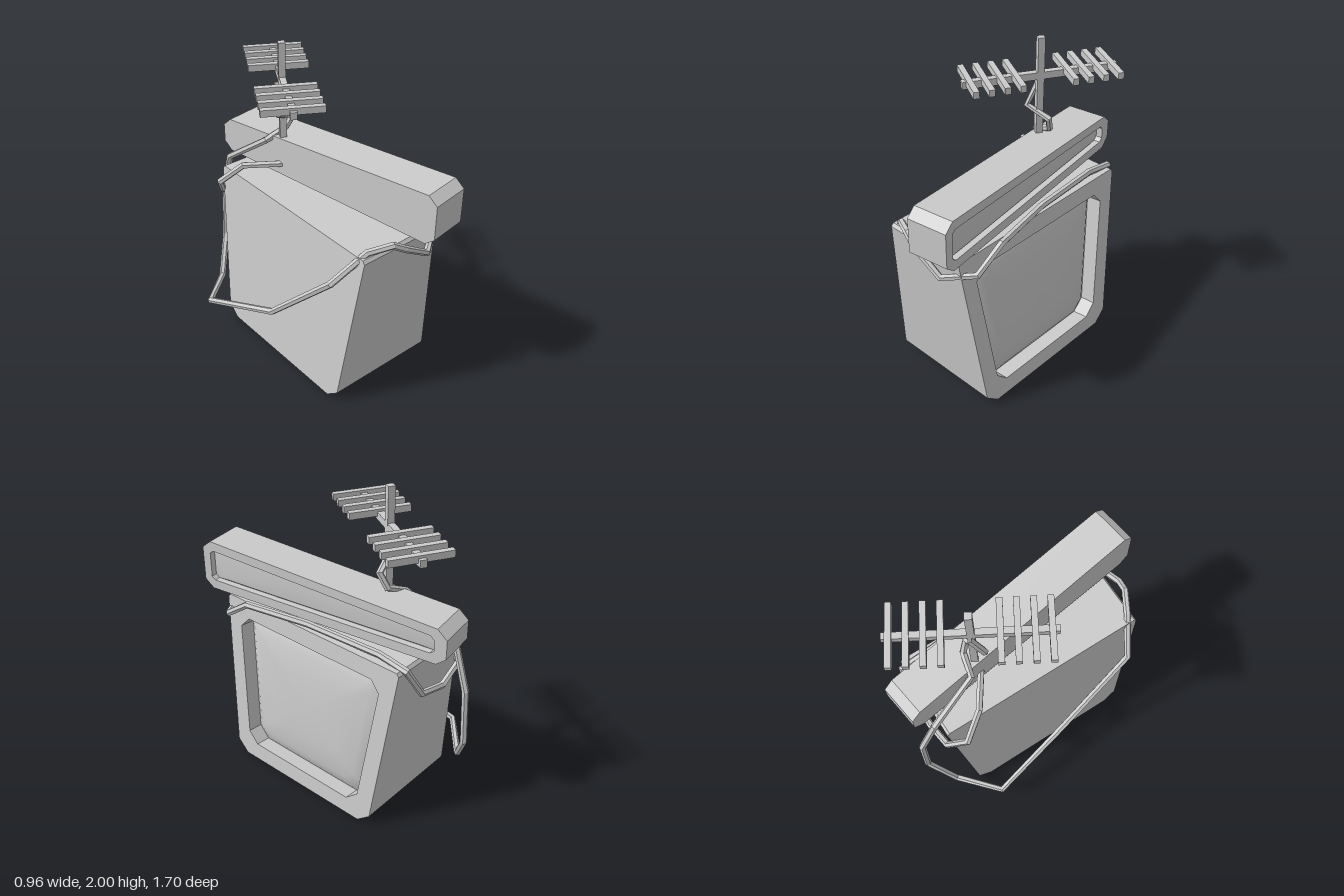
import * as THREE from 'three';
import { toCreasedNormals } from 'three/addons/utils/BufferGeometryUtils.js';

const grey = new THREE.MeshStandardMaterial({ color: 0xcccccc });
const faceted = new THREE.MeshStandardMaterial({ color: 0xcccccc, flatShading: true });

function add(parent, name, geometry, material = grey) {
  const mesh = new THREE.Mesh(geometry, material);
  mesh.name = name;
  parent.add(mesh);
  return mesh;
}

// Skin over rings of equal point count, running from the back to the front (+x)
function loft(rings, crease = 0.5) {
  const pos = [];
  const tri = (...pts) => pts.forEach(p => pos.push(p.x, p.y, p.z));
  for (let r = 0; r < rings.length - 1; r++) {
    const a = rings[r], b = rings[r + 1], n = a.length;
    for (let j = 0; j < n; j++) {
      const k = (j + 1) % n;
      if (r > 0) tri(a[j], a[k], b[k]);
      if (r === 0 || r < rings.length - 2) tri(a[j], b[k], b[j]);
    }
  }
  const g = new THREE.BufferGeometry();
  g.setAttribute('position', new THREE.Float32BufferAttribute(pos, 3));
  return toCreasedNormals(g, crease);
}

// Case with a recessed panel in its +x face.
// outline, opening: [z, y] corners; backX, frontX: face positions by height;
// panel: [scale, depth] steps of the recess floor, the last one being its middle
function recessedCase(outline, opening, backX, frontX, panel) {
  const mid = pts => {
    const box = new THREE.Box2().setFromPoints(pts.map(p => new THREE.Vector2(...p)));
    return box.getCenter(new THREE.Vector2());
  };
  const slope = frontX(0) - frontX(1);
  const ring = (pts, xOf, scale = 1, depth = 0) => {
    const c = mid(pts);
    return pts.map(([z, y]) => {
      const zz = c.x + (z - c.x) * scale, yy = c.y + (y - c.y) * scale;
      return new THREE.Vector3(xOf(yy) - depth, yy - slope * depth, zz);
    });
  };
  return loft([
    ring(outline, backX, 0), ring(outline, backX), ring(outline, frontX), ring(opening, frontX),
    ...panel.map(([scale, depth]) => ring(opening, frontX, scale, depth)),
  ]);
}

// Straight-segment path with mitred corners
class Polyline extends THREE.Curve {
  constructor(points) {
    super();
    this.points = points.map(p => new THREE.Vector3(...p));
  }
  getPoint(t, target = new THREE.Vector3()) {
    const n = this.points.length - 1, i = Math.min(Math.floor(t * n + 1e-6), n - 1);
    return target.lerpVectors(this.points[i], this.points[i + 1], t * n - i);
  }
  getPointAt(t, target) { return this.getPoint(t, target); }
  getTangentAt(t, target = new THREE.Vector3()) {
    const p = this.points, n = p.length - 1, i = Math.round(t * n);
    const dir = (a, b) => p[b].clone().sub(p[a]).normalize();
    target.set(0, 0, 0);
    if (i > 0) target.add(dir(i - 1, i));
    if (i < n) target.add(dir(i, i + 1));
    return target.normalize();
  }
}

function cable(parent, name, points) {
  add(parent, name, new THREE.TubeGeometry(new Polyline(points), points.length - 1, 0.022, 6), faceted);
}

export function createModel() {
  const model = new THREE.Group();

  // Television: tapered case with a bulging screen
  add(model, 'televisionCase', recessedCase(
    [[-0.48, 0], [-0.565, 0.07], [-0.675, 1.08], [-0.66, 1.1], [0.66, 1.1], [0.675, 1.08], [0.565, 0.07], [0.48, 0]],
    [[-0.38, 0.11], [-0.46, 0.18], [-0.55, 0.92], [-0.49, 0.99], [0.49, 0.99], [0.555, 0.92], [0.465, 0.18], [0.39, 0.11]],
    y => -0.27 + 0.082 * y,
    y => 0.48 - 0.1 * y,
    [[1, 0.1], [0.92, 0.075], [0.8, 0.055], [0.5, 0.038], [0, 0.03]],
  ));

  // Long player box lying askew on top
  const player = add(model, 'playerBox', recessedCase(
    [[-0.78, 1.13], [-0.84, 1.18], [-0.84, 1.3], [-0.78, 1.355], [0.78, 1.45], [0.84, 1.4], [0.84, 1.18], [0.78, 1.13]],
    [[-0.74, 1.19], [-0.765, 1.21], [-0.765, 1.275], [-0.74, 1.3], [0.76, 1.39], [0.785, 1.37], [0.785, 1.21], [0.76, 1.19]],
    () => -0.127,
    () => 0.127,
    [[1, 0.04], [0.9, 0.03], [0, 0.025]],
  ));
  player.rotation.y = 0.143;
  player.position.x = 0.182;

  // Antenna: square mast, boom and two sets of four bars
  const antenna = new THREE.Group();
  antenna.name = 'antenna';
  antenna.position.set(0.045, 0, -0.33);
  antenna.rotation.y = -Math.PI / 6;
  model.add(antenna);
  add(antenna, 'mast', new THREE.BoxGeometry(0.042, 0.7, 0.042)).position.y = 1.65;
  add(antenna, 'boom', new THREE.BoxGeometry(0.04, 0.045, 0.95)).position.y = 1.762;
  for (const side of [-1, 1]) {
    for (let i = 0; i < 4; i++) {
      const bar = add(antenna, 'antennaBar', new THREE.BoxGeometry(0.37, 0.042, 0.036));
      bar.position.set(0, 1.779, side * (0.158 + i * 0.092));
    }
  }

  // Cable from the player, behind the television, over the screen,
  // round the far side and up again to the antenna
  cable(model, 'playerCable', [
    [0.04, 1.2, -0.3], [-0.18, 1.2, -0.45], [-0.265, 1.05, -0.59], [-0.18, 0.91, -0.69],
    [0, 0.85, -0.71], [0.2, 0.9, -0.71], [0.32, 1.1, -0.69], [0.32, 1.13, -0.5],
    [0.37, 1.15, 0], [0.45, 1.15, 0.42], [0.44, 1.02, 0.6], [0.27, 0.98, 0.72],
    [0.08, 1.1, 0.73], [0, 1.15, 0.71], [-0.13, 1.12, 0.64], [-0.31, 0.93, 0.54],
    [-0.36, 0.44, 0.05], [-0.46, 0.235, -0.5], [-0.22, 0.21, -0.71], [-0.09, 0.44, -0.83],
    [-0.08, 0.81, -0.82], [-0.1, 1.12, -0.71], [-0.03, 1.35, -0.4], [0.1, 1.41, -0.37],
    [0.125, 1.5, -0.33], [-0.015, 1.56, -0.29], [0.03, 1.74, -0.355],
  ]);

  return model;
}
